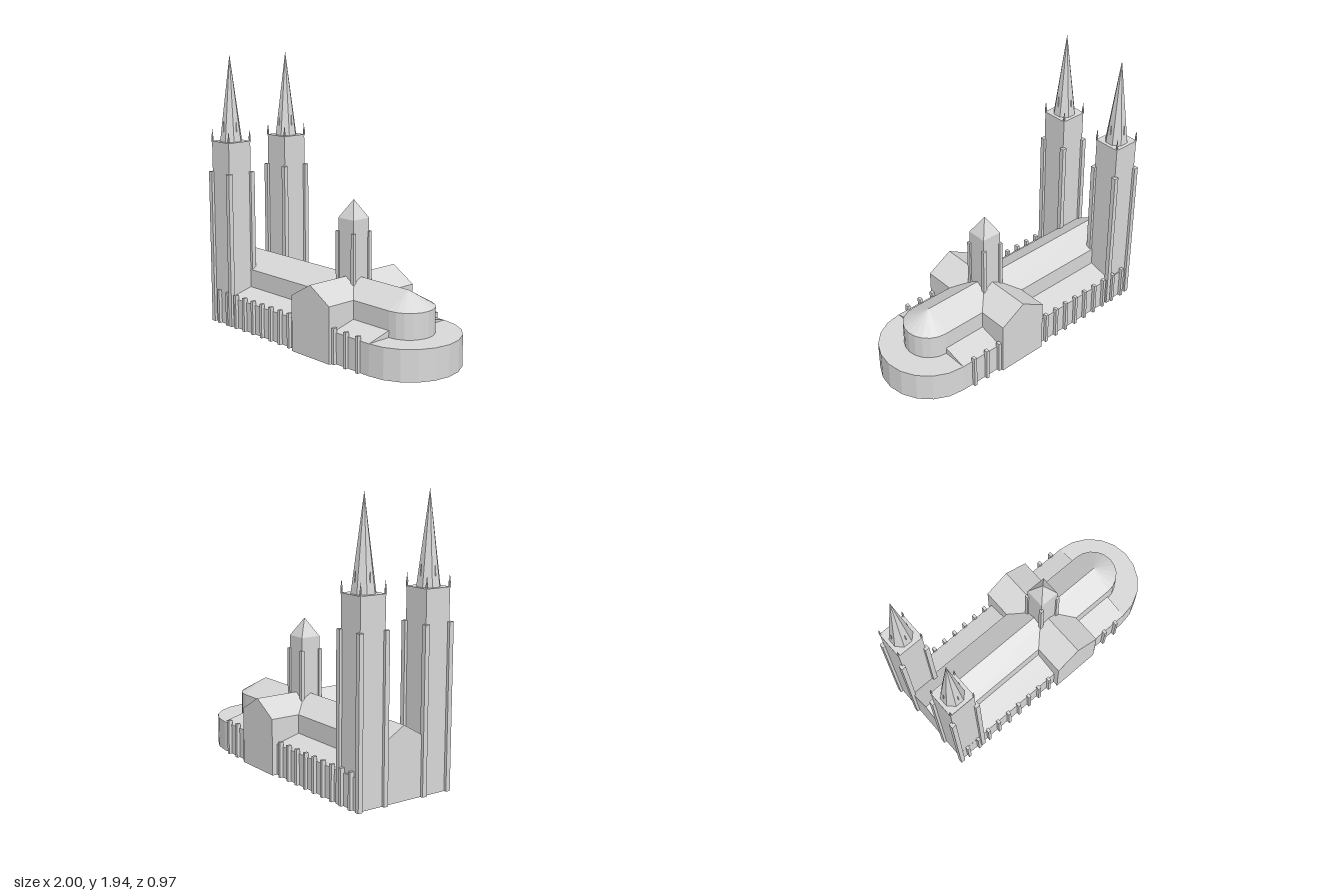
import * as THREE from 'three';
import { mergeGeometries } from 'three/addons/utils/BufferGeometryUtils.js';

export function createModel() {
  const model = new THREE.Group();
  model.name = 'church';
  const stone = new THREE.MeshStandardMaterial({ color: 0xd8d8d8, flatShading: true, side: THREE.DoubleSide });
  stone.name = 'pale stone';

  // The whole building is turned slightly; its axis runs along local x, apse at +x
  const church = new THREE.Group();
  church.name = 'building';
  church.rotation.y = -0.15;
  church.position.set(0.145, 0, 0.044);
  model.add(church);

  const add = (name, geo, x = 0, y = 0, z = 0, parent = church) => {
    const mesh = new THREE.Mesh(geo, stone);
    mesh.name = name;
    mesh.position.set(x, y, z);
    parent.add(mesh);
    return mesh;
  };
  // Box standing on height y0
  const block = (name, w, h, d, x, y0, z, parent) =>
    add(name, new THREE.BoxGeometry(w, h, d), x, y0 + h / 2, z, parent);
  // Square shaft without floor or lid
  const shaft = (name, w, h, y0, parent) =>
    add(name, new THREE.CylinderGeometry(w * Math.SQRT1_2, w * Math.SQRT1_2, h, 4, 1, true)
      .rotateY(Math.PI / 4), 0, y0 + h / 2, 0, parent);
  // Walls and roof without floor: a (z, y) profile swept from x0 to x1, with end walls
  const shell = (points, x0, x1, eastWall = true) => {
    const sweep = new THREE.PlaneGeometry(1, 1, 1, points.length - 1);
    points.forEach(([z, y], i) => {
      sweep.attributes.position.setXYZ(2 * i, x0, y, z);
      sweep.attributes.position.setXYZ(2 * i + 1, x1, y, z);
    });
    const outline = [...points, [points.at(-1)[0], 0], [points[0][0], 0]];
    const endWall = (dir, x) => new THREE.ShapeGeometry(
      new THREE.Shape(outline.map(([z, y]) => new THREE.Vector2(-dir * z, y))))
      .rotateY(dir * Math.PI / 2).translate(x, 0, 0);
    const parts = [sweep, endWall(-1, x0)];
    if (eastWall) parts.push(endWall(1, x1));
    return mergeGeometries(parts);
  };
  const gable = (half, eave, ridge) => [[-half, 0], [-half, eave], [0, ridge], [half, eave], [half, 0]];

  const WEST = -1.08, EAST = 0.51, NAVE = 0.178, AISLE = 0.356;
  const EAVE = 0.39, RIDGE = 0.495, LOW = 0.214;

  // Nave (open towards the apse) and transept
  add('nave', shell(gable(NAVE, EAVE, RIDGE), WEST, EAST, false));
  add('transept', shell(gable(0.184, EAVE, RIDGE + 0.003), -0.396, 0.392), 0.002).rotation.y = Math.PI / 2;

  // Aisles with lean-to roofs and small buttresses
  add('rightAisle', shell([[NAVE, 0.26], [AISLE, LOW], [AISLE, 0]], WEST, EAST));
  add('leftAisle', shell([[-AISLE, 0], [-AISLE, LOW], [-NAVE, 0.26]], WEST, EAST));
  const buttressX = [0.2, 0.31, 0.42];
  for (let i = 0; i < 9; i++) buttressX.push(-1.019 + i * 0.0968);
  for (const s of [-1, 1]) {
    for (const x of buttressX) block('aisleButtress', 0.022, 0.246, 0.03, x, 0, s * 0.364);
  }

  // Apse with conical roof, surrounded by the low ambulatory
  const halfDrum = (rTop, rBottom, h) =>
    new THREE.CylinderGeometry(rTop, rBottom, h, 10, 1, true, 0, Math.PI);
  add('apseWall', halfDrum(NAVE, NAVE, EAVE), EAST, EAVE / 2);
  add('apseRoof', halfDrum(0, NAVE, RIDGE - EAVE), EAST, (EAVE + RIDGE) / 2);
  add('ambulatoryWall', halfDrum(AISLE, AISLE, LOW), EAST, LOW / 2);
  add('ambulatoryRoof', new THREE.RingGeometry(NAVE, AISLE, 10, 1, -Math.PI / 2, Math.PI)
    .rotateX(-Math.PI / 2), EAST, LOW);

  // Calls fn at the four corners of a square
  const corners = (r, fn) => {
    for (const x of [-r, r]) for (const z of [-r, r]) fn(x, z);
  };

  // West towers with octagonal spires
  for (const s of [-1, 1]) {
    const tower = new THREE.Group();
    tower.name = s > 0 ? 'rightWestTower' : 'leftWestTower';
    tower.position.set(-0.985, 0, 0.003 + s * 0.256);
    church.add(tower);
    shaft('towerShaft', 0.192, 1.32, 0, tower);
    block('towerCornice', 0.197, 0.01, 0.197, 0, 1.32, 0, tower);
    corners(0.099, (x, z) => block('towerButtress', 0.033, 1.11, 0.033, x, 0, z, tower));
    corners(0.094, (x, z) => {
      block('pinnacleBase', 0.01, 0.035, 0.01, x, 1.33, z, tower);
      add('pinnacleTip', new THREE.ConeGeometry(0.007, 0.05, 4), x, 1.39, z, tower);
    });
    add('spire', new THREE.ConeGeometry(0.08, 0.61, 8).rotateY(Math.PI / 8), 0, 1.635, 0, tower);
    // Tiny pointed dormers on the spire faces
    for (let i = 0; i < 4; i++) {
      const a = i * Math.PI / 2;
      add('spireDormer', new THREE.ConeGeometry(0.006, 0.08, 4),
        Math.cos(a) * 0.062, 1.44, Math.sin(a) * 0.062, tower);
    }
  }

  // Crossing tower with pyramid roof
  const crossing = new THREE.Group();
  crossing.name = 'crossingTower';
  crossing.position.set(0.003, 0, 0);
  church.add(crossing);
  shaft('crossingShaft', 0.146, 0.59, 0.3, crossing);
  corners(0.073, (x, z) => block('crossingButtress', 0.025, 0.5, 0.025, x, 0.3, z, crossing));
  add('crossingRoof', new THREE.ConeGeometry(0.073 * Math.SQRT2, 0.125, 4).rotateY(Math.PI / 4),
    0, 0.9525, 0, crossing);

  return model;
}
